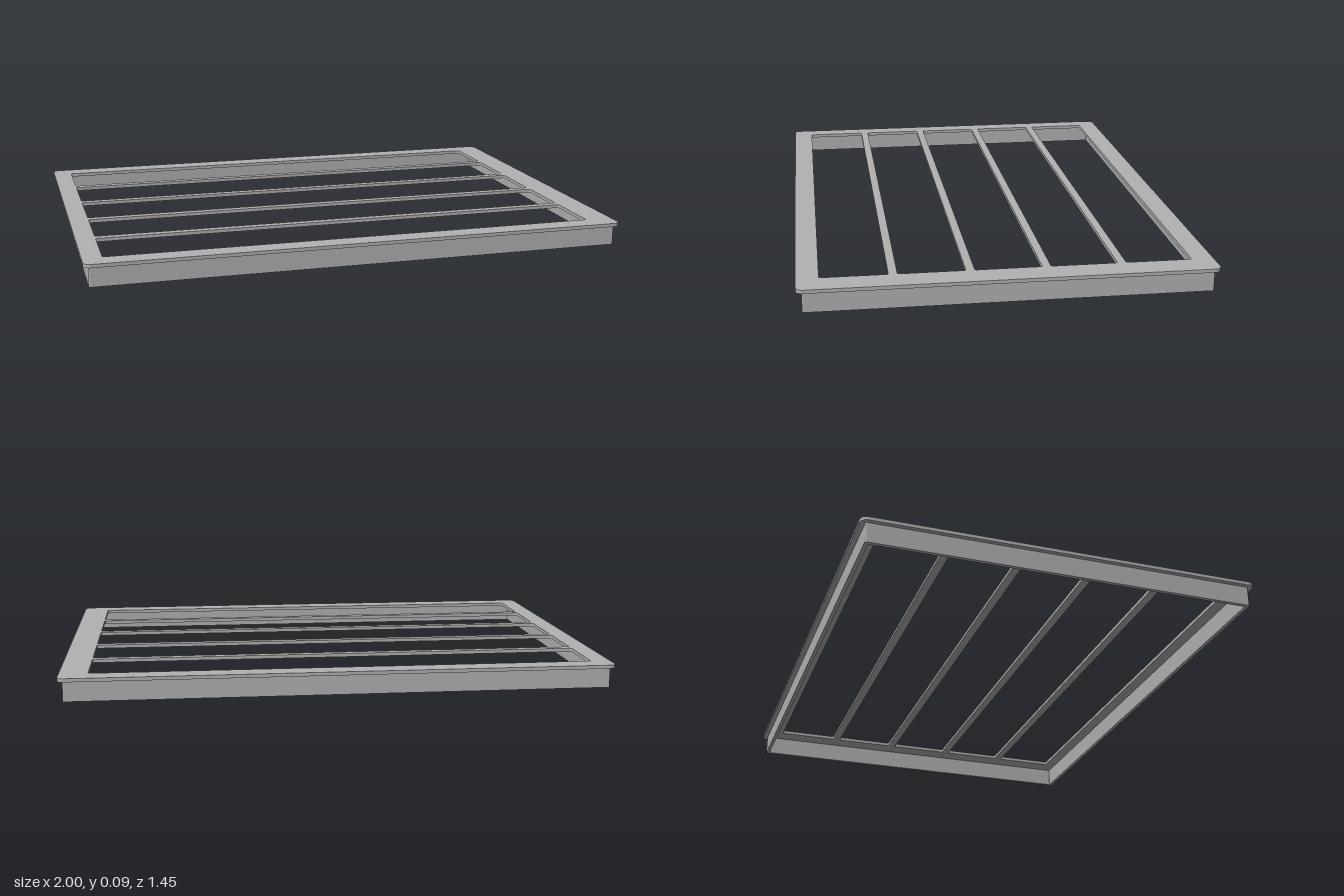
import * as THREE from 'three';

// Traces a rounded rectangle onto a Shape or Path.
function roundedRect(path, x0, x1, y0, y1, r) {
  path.moveTo(x0 + r, y0);
  path.lineTo(x1 - r, y0);
  path.absarc(x1 - r, y0 + r, r, -Math.PI / 2, 0, false);
  path.lineTo(x1, y1 - r);
  path.absarc(x1 - r, y1 - r, r, 0, Math.PI / 2, false);
  path.lineTo(x0 + r, y1);
  path.absarc(x0 + r, y1 - r, r, Math.PI / 2, Math.PI, false);
  path.lineTo(x0, y0 + r);
  path.absarc(x0 + r, y0 + r, r, Math.PI, Math.PI * 1.5, false);
  return path;
}

export function createModel() {
  const group = new THREE.Group();
  group.name = 'slottedFrame';
  const grey = new THREE.MeshStandardMaterial({ color: 0xb2b2b2 });
  grey.name = 'grey';

  // Extrudes a plan outline upwards from height y.
  const addSlab = (name, shape, y, height) => {
    const geometry = new THREE.ExtrudeGeometry(shape, { depth: height, bevelEnabled: false, curveSegments: 6 });
    geometry.rotateX(-Math.PI / 2);
    const mesh = new THREE.Mesh(geometry, grey);
    mesh.name = name;
    mesh.position.y = y;
    group.add(mesh);
  };

  // Top plate with five long openings; the bars are what remains between them.
  const plateBottom = 0.074;
  const plate = roundedRect(new THREE.Shape(), -1, 1, -0.724, 0.724, 0.025);
  for (let i = -2; i <= 2; i++) {
    const z = i * 0.2645;
    plate.holes.push(roundedRect(new THREE.Path(), -0.928, 0.897, z - 0.117, z + 0.117, 0.008));
  }
  addSlab('topPlate', plate, plateBottom, 0.013);

  // Thin wall hanging below the plate, set in from its edge.
  const wall = 0.014;
  const skirt = roundedRect(new THREE.Shape(), -0.983, 0.983, -0.705, 0.705, 0.006);
  skirt.holes.push(roundedRect(new THREE.Path(), -0.983 + wall, 0.983 - wall, -0.705 + wall, 0.705 - wall, 0.002));
  addSlab('skirt', skirt, 0, plateBottom);

  return group;
}
